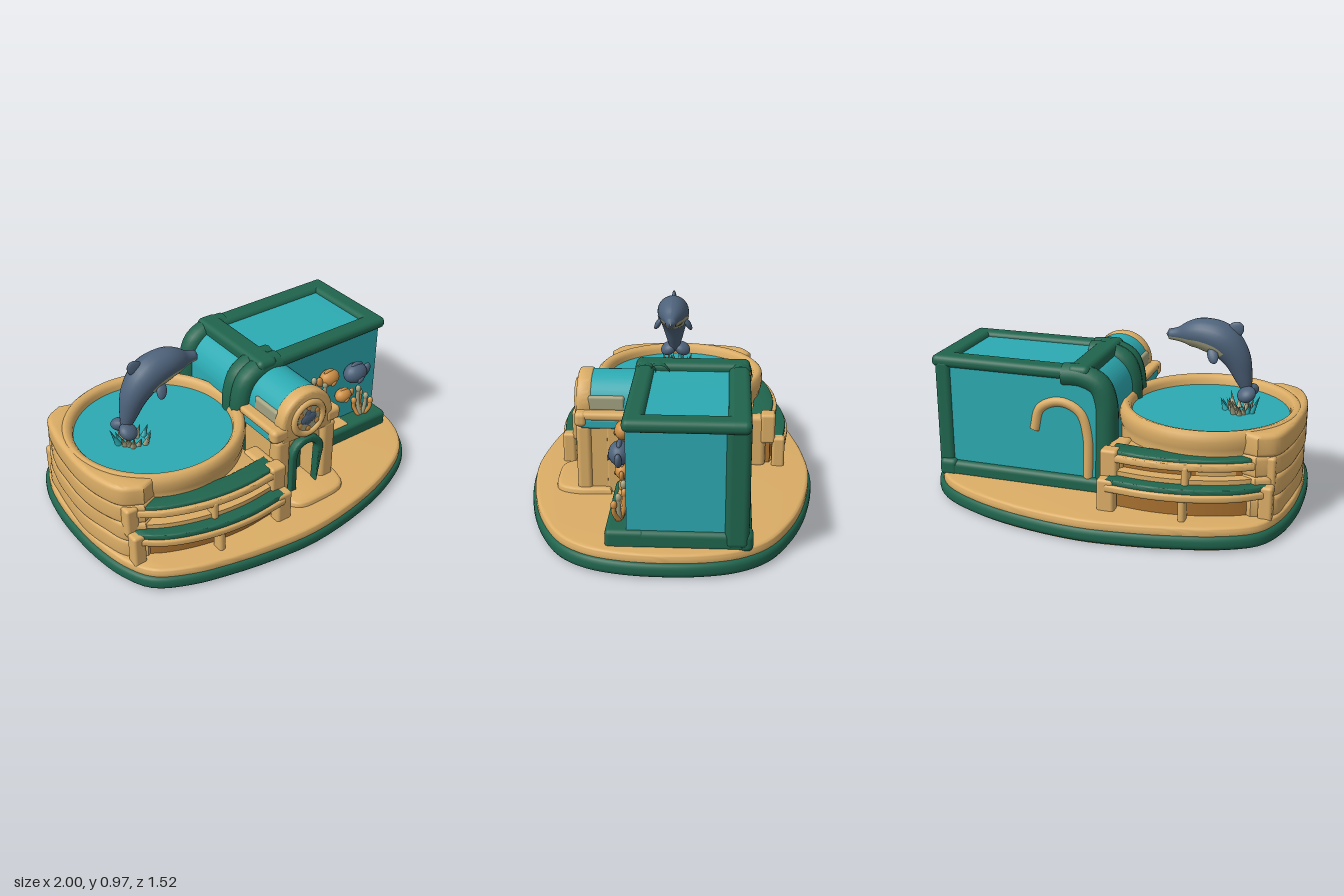
import * as THREE from 'three';
import { toCreasedNormals } from 'three/addons/utils/BufferGeometryUtils.js';
import { RoundedBoxGeometry } from 'three/addons/geometries/RoundedBoxGeometry.js';

export function createModel() {
  const root = new THREE.Group();
  root.name = 'aquarium';
  const mat = (name, color) => {
    const m = new THREE.MeshStandardMaterial({ color });
    m.name = name;
    return m;
  };
  const sand = mat('sand', 0xdbad66), brown = mat('brown', 0xa8702f), green = mat('green', 0x20654e);
  const teal = mat('teal', 0x2caab2), blue = mat('slate blue', 0x4d627a), grey = mat('grey green', 0xa3a281);
  const orange = mat('orange', 0xcf9045);

  // helpers
  const add = (name, geo, m, x = 0, y = 0, z = 0) => {
    const mesh = new THREE.Mesh(geo, m);
    mesh.name = name;
    mesh.position.set(x, y, z);
    root.add(mesh);
    return mesh;
  };
  const box = (name, m, x0, x1, y0, y1, z0, z1, r = 0.02) =>
    add(name, new RoundedBoxGeometry(x1 - x0, y1 - y0, z1 - z0, 3, r), m, (x0 + x1) / 2, (y0 + y1) / 2, (z0 + z1) / 2);
  const ball = (name, m, p, s, rot = [0, 0, 0]) => {
    const mesh = add(name, new THREE.SphereGeometry(1, 20, 14), m, ...p);
    mesh.scale.set(...s);
    mesh.rotation.set(...rot);
    return mesh;
  };
  const spline = (pts, closed, n) =>
    new THREE.CatmullRomCurve3(pts.map(([x, y]) => new THREE.Vector3(x, y, 0)), closed)
      .getPoints(n).map(p => new THREE.Vector2(p.x, p.y));
  const extrude = (shape, depth, b = 0) => {
    const g = new THREE.ExtrudeGeometry(shape, {
      depth: depth - 2 * b, bevelEnabled: b > 0, bevelSize: b, bevelThickness: b, bevelOffset: -b,
      bevelSegments: 4, curveSegments: 20 });
    g.translate(0, 0, b);
    return toCreasedNormals(g, 0.7);
  };
  // horizontal slab from a plan outline in x and z
  const slab = (name, m, pts, y0, y1, b = 0) => {
    const g = extrude(new THREE.Shape(pts), y1 - y0, b);
    g.rotateX(Math.PI / 2);
    return add(name, g, m, 0, y1, 0);
  };
  const arch = (cx, r, y0, ySpring, Kind = THREE.Shape) => {
    const s = new Kind();
    s.moveTo(cx - r, y0);
    s.lineTo(cx + r, y0);
    s.lineTo(cx + r, ySpring);
    s.absarc(cx, ySpring, r, 0, Math.PI, false);
    s.closePath();
    return s;
  };
  const tube = (name, m, pts, r) => add(name, new THREE.TubeGeometry(
    new THREE.CatmullRomCurve3(pts.map(p => new THREE.Vector3(...p))), 32, r, 12), m);
  let seed = 7;
  const rnd = () => (seed = (seed * 16807) % 2147483647) / 2147483647;

  // base
  const half = [[1, 0], [0.985, 0.2], [0.935, 0.37], [0.83, 0.51], [0.62, 0.63], [0.35, 0.715], [0, 0.762],
    [-0.27, 0.742], [-0.48, 0.705], [-0.7, 0.645], [-0.87, 0.55], [-0.95, 0.4], [-0.99, 0.2], [-1, 0]];
  const outline = spline([...half, ...half.slice(1, -1).reverse().map(([x, z]) => [x, -z])], true, 104).slice(0, -1);
  const scaled = k => outline.map(p => p.clone().multiplyScalar(k));
  slab('underside', sand, scaled(0.97), 0, 0.012);
  slab('baseTrim', green, outline, 0.004, 0.08, 0.028);
  slab('baseTop', sand, scaled(0.98), 0.05, 0.12, 0.018);

  // round pool
  const px = -0.487, pz = -0.015;
  const wall = new THREE.LatheGeometry([[0.47, 0.1], [0.465, 0.42], [0.475, 0.45], [0.48, 0.49], [0.475, 0.525],
    [0.455, 0.542], [0.43, 0.535], [0.415, 0.515], [0.41, 0.47]].map(p => new THREE.Vector2(...p)), 64);
  add('poolWall', wall, sand, px, 0, pz);
  const water = add('poolWater', new THREE.CircleGeometry(0.415, 48), teal, px, 0.49, pz);
  water.rotation.x = -Math.PI / 2;

  // wavy stacked courses on the left flank
  const inner = [[-0.72, 0.38], [-0.87, 0.22], [-0.925, -0.015], [-0.87, -0.25], [-0.72, -0.4]];
  for (let row = 0; row < 4; row++) {
    const outer = [[-0.8, -0.46], [-0.895, -0.4], [-0.94, -0.25], [-0.96, -0.1], [-0.96, 0.08], [-0.94, 0.24],
      [-0.895, 0.38], [-0.8, 0.44]].map(([x, z]) => [x - rnd() * 0.02, z * (1 - row * 0.02)]);
    slab('rockCourse', sand, [...spline(outer, false, 36), ...spline(inner, false, 20)],
      0.1 + row * 0.105, 0.22 + row * 0.105, 0.025);
  }

  // seating tiers, front and back
  for (const s of [1, -1]) {
    const edge = grow => spline([[-0.87, 0.37 + grow], [-0.75, 0.455 + grow], [-0.55, 0.525 + grow], [-0.33, 0.55 + grow],
      [-0.1, 0.53 + grow]], false, 24);
    const side = pts => pts.map(p => new THREE.Vector2(p.x, p.y * s));
    const tier = grow => side([...edge(grow), new THREE.Vector2(-0.14, 0.25), new THREE.Vector2(-0.8, 0.2)]);
    const band = (grow, width) => side([...edge(grow), ...edge(grow - width).reverse()]);
    slab('lowerRiser', brown, tier(0.005), 0.11, 0.25);
    slab('lowerStep', sand, tier(0.09), 0.222, 0.262, 0.012);
    slab('lowerSeat', green, band(0.077, 0.1), 0.252, 0.288, 0.01);
    slab('upperRiser', brown, tier(-0.05), 0.25, 0.39);
    slab('upperLedge', sand, tier(0.012), 0.25, 0.312);
    slab('upperStep', sand, tier(0.025), 0.358, 0.397, 0.01);
    slab('upperSeat', green, band(0.004, 0.11), 0.38, 0.414, 0.01);
    for (const [x, z, w] of [[-0.87, 0.37, 0.035], [-0.49, 0.525, 0.018], [-0.1, 0.52, 0.045]]) {
      const end = w > 0.03, zs = s * z, lo = s * (z + 0.06);
      box('upperPost', sand, x - w, x + w, 0.25, end ? 0.42 : 0.385, zs - 0.04, zs + 0.04, 0.016);
      box('lowerPost', sand, x - w, x + w, 0.1, end ? 0.285 : 0.25, lo - 0.035, lo + 0.035, 0.016);
    }
    box('tierEnd', sand, -0.16, -0.06, 0.1, 0.41, s * 0.41 - 0.1, s * 0.41 + 0.1, 0.03);
  }

  // glass tank with a rounded upper left corner
  const tank = new THREE.Shape();
  tank.moveTo(-0.05, 0.1);
  tank.lineTo(0.885, 0.1);
  tank.lineTo(0.885, 0.745);
  tank.lineTo(0.13, 0.745);
  tank.absarc(0.13, 0.565, 0.18, Math.PI / 2, Math.PI, false);
  tank.closePath();
  add('tankGlass', extrude(tank, 0.565), teal, 0, 0, -0.395);
  // green frame
  box('frameFront', green, 0.06, 0.93, 0.705, 0.77, 0.085, 0.185, 0.03);
  box('frameBack', green, 0.06, 0.93, 0.705, 0.77, -0.41, -0.3, 0.03);
  box('frameRight', green, 0.82, 0.93, 0.705, 0.77, -0.41, 0.185, 0.03);
  box('frameLeft', green, 0.05, 0.17, 0.705, 0.785, -0.41, 0.185, 0.03);
  box('framePost', green, 0.82, 0.912, 0.12, 0.75, -0.41, -0.295, 0.03);
  for (const z of [0.13, 0.06, -0.36])
    tube('frameCurve', green, [[0.2, 0.725, z], [0.1, 0.725, z], [0.01, 0.685, z], [-0.025, 0.6, z], [-0.03, 0.45, z],
      [-0.02, 0.1, z]], 0.06);
  box('tankFootBack', green, -0.06, 0.9, 0.1, 0.19, -0.425, -0.3, 0.03);
  box('tankFootRight', green, 0.8, 0.905, 0.1, 0.2, -0.43, 0.275, 0.03);
  box('tankFootFront', green, 0.33, 0.905, 0.1, 0.2, 0.08, 0.275, 0.025);
  box('tankSandBed', sand, 0.36, 0.64, 0.19, 0.206, 0.14, 0.25, 0.007);
  // arch on the back glass
  tube('backArch', sand, [[0.065, 0.15, -0.385], [0.065, 0.42, -0.385], [0.105, 0.54, -0.385], [0.21, 0.585, -0.385],
    [0.32, 0.54, -0.385], [0.355, 0.42, -0.385]], 0.028);

  // entrance tower with a recessed doorway
  const cx = 0.14;
  box('towerBody', sand, -0.04, 0.32, 0.1, 0.53, 0.1, 0.33);
  const facade = new THREE.Shape([[-0.04, 0.1], [0.32, 0.1], [0.32, 0.53], [-0.04, 0.53]].map(p => new THREE.Vector2(...p)));
  facade.holes.push(arch(cx, 0.075, 0.15, 0.36, THREE.Path));
  add('towerFront', extrude(facade, 0.13), sand, 0, 0, 0.32);
  const roof = add('barrelRoof', new THREE.CylinderGeometry(0.16, 0.16, 0.3, 40), teal, cx, 0.575, 0.28);
  roof.rotation.x = Math.PI / 2;
  for (const d of [-1, 1]) {
    const x = cx + d * 0.15;
    box('pilaster', sand, x - 0.045, x + 0.045, 0.1, 0.5, 0.4, 0.48, 0.025);
    const c = cx + d * 0.17;
    box('corniceBand', teal, c - 0.04, c + 0.04, 0.485, 0.54, 0.2, 0.455, 0.015);
    box('cornice', sand, c - 0.045, c + 0.045, 0.53, 0.572, 0.17, 0.455, 0.018);
    const g = cx + d * 0.14;
    box('roofPatch', grey, g - 0.022, g + 0.022, 0.565, 0.645, 0.23, 0.42, 0.015);
    box('archFoot', sand, c - 0.05, c + 0.05, 0.495, 0.575, 0.42, 0.485, 0.025);
  }
  add('archFront', extrude(arch(cx, 0.165, 0.47, 0.577), 0.08, 0.02), sand, 0, 0, 0.4);
  add('medallionRing', new THREE.TorusGeometry(0.092, 0.02, 10, 36), sand, cx, 0.585, 0.478);
  add('medallion', new THREE.CircleGeometry(0.085, 32), grey, cx, 0.585, 0.483);
  for (let i = 0; i < 6; i++) {
    const a = i * Math.PI / 3 + 0.5;
    ball('medallionSpot', orange, [cx + Math.cos(a) * 0.064, 0.585 + Math.sin(a) * 0.064, 0.484], [0.016, 0.016, 0.005]);
  }
  ball('medallionFish', blue, [cx, 0.585, 0.485], [0.05, 0.03, 0.008], [0, 0, 0.15]);
  ball('medallionFin', blue, [cx - 0.005, 0.59, 0.485], [0.022, 0.046, 0.006]);
  const frame = new THREE.Shape();
  frame.moveTo(cx + 0.108, 0.15);
  frame.absarc(cx, 0.36, 0.108, 0, Math.PI, false);
  frame.lineTo(cx - 0.108, 0.15);
  frame.lineTo(cx - 0.066, 0.15);
  frame.absarc(cx, 0.36, 0.066, Math.PI, 0, true);
  frame.lineTo(cx + 0.066, 0.15);
  frame.closePath();
  add('doorFrame', extrude(frame, 0.05, 0.012), green, 0, 0, 0.443);
  add('door', extrude(arch(cx, 0.08, 0.14, 0.36), 0.008), green, 0, 0, 0.334);
  slab('doorStep', sand, spline([[-0.03, 0.3], [-0.03, 0.5], [0.02, 0.59], [0.16, 0.605], [0.31, 0.58], [0.355, 0.48],
    [0.35, 0.3]], false, 30), 0.09, 0.15, 0.02);

  // dolphin body lofted along a leaping curve
  const spine = new THREE.CatmullRomCurve3([[-0.67, 0.59], [-0.648, 0.67], [-0.605, 0.78], [-0.53, 0.86], [-0.43, 0.888],
    [-0.36, 0.884], [-0.3, 0.875], [-0.232, 0.87]].map(([x, y]) => new THREE.Vector3(x, y, 0.025)));
  const radii = new THREE.SplineCurve([0.025, 0.047, 0.074, 0.09, 0.083, 0.066, 0.038, 0.026]
    .map((r, i) => new THREE.Vector2(i, r)));
  const loft = (u0, u1, a0, a1, k) => {
    const nu = 32, nv = 24, pos = [], idx = [];
    for (let i = 0; i <= nu; i++) {
      const u = u0 + (u1 - u0) * i / nu, c = spine.getPoint(u), t = spine.getTangent(u);
      const r = (i === nu ? 0.003 : radii.getPoint(u).y) * k;
      for (let j = 0; j <= nv; j++) {
        const a = a0 + (a1 - a0) * j / nv, n = Math.cos(a) * r;
        pos.push(c.x - t.y * n, c.y + t.x * n, c.z + Math.sin(a) * r);
        const p = i * (nv + 1) + j, q = p + nv + 1;
        if (i < nu && j < nv) idx.push(p, p + 1, q, p + 1, q + 1, q);
      }
    }
    const g = new THREE.BufferGeometry();
    g.setAttribute('position', new THREE.Float32BufferAttribute(pos, 3));
    g.setIndex(idx);
    g.computeVertexNormals();
    return g;
  };
  add('dolphinBody', loft(0, 1, 0, Math.PI * 2, 1), blue);
  add('dolphinBelly', loft(0.36, 0.99, Math.PI - 1.3, Math.PI + 1.3, 1.03), grey);
  ball('dorsalFin', blue, [-0.595, 0.92, 0.025], [0.04, 0.05, 0.014], [0, 0, 0.8]);
  for (const d of [-1, 1]) {
    ball('flipper', blue, [-0.5, 0.8, 0.025 + d * 0.085], [0.028, 0.045, 0.016], [d * -0.5, 0, -0.35]);
    ball('fluke', blue, [-0.675, 0.595, 0.02 + d * 0.04], [0.05, 0.035, 0.05], [d * 0.5, 0, -0.3]);
  }

  // splash around the tail
  for (let i = 0; i < 16; i++) {
    const a = i * 2.4, r = 0.03 + rnd() * 0.075, h = 0.05 + rnd() * 0.07;
    const drop = add('splash', new THREE.ConeGeometry(0.017, h, 6), i % 4 ? grey : teal,
      -0.64 + Math.cos(a) * r, 0.485 + h / 2, 0.01 + Math.sin(a) * r);
    drop.rotation.set(Math.sin(a) * 0.4, 0, -Math.cos(a) * 0.4);
  }

  // fish before the glass
  const fish = (m, x, y, z, s, dir) => {
    ball('fishBody', m, [x, y, z], [s, s * 0.8, s * 0.75]);
    ball('fishTail', m, [x - dir * s * 1.1, y - s * 0.1, z], [s * 0.35, s * 0.55, s * 0.25], [0, 0, dir * 0.4]);
    ball('fishFin', m, [x - dir * s * 0.1, y + s * 0.65, z], [s * 0.55, s * 0.3, s * 0.2]);
    for (const d of [-1, 1]) ball('fishSideFin', m, [x, y - s * 0.3, z + d * s * 0.7], [s * 0.35, s * 0.2, s * 0.12], [0, 0, 0.6]);
  };
  fish(orange, 0.505, 0.55, 0.215, 0.06, 1);
  fish(blue, 0.695, 0.51, 0.215, 0.073, -1);
  fish(orange, 0.62, 0.385, 0.21, 0.052, -1);

  // coral clumps
  const coral = (x, z, n, height, spread, colours) => {
    for (let i = 0; i < n; i++) {
      const lean = (i / (n - 1) - 0.5) * spread, h = height * (0.45 + rnd() * 0.55), dz = (rnd() - 0.5) * 0.06;
      const m = colours[i % colours.length];
      tube('coralBranch', m, [[x + lean * 0.4, 0.19, z], [x + lean * 0.9, 0.2 + h * 0.5, z + dz],
        [x + lean, 0.2 + h, z + dz]], 0.012);
      ball('coralTip', m, [x + lean, 0.2 + h, z + dz], [0.016, 0.022, 0.016]);
    }
  };
  coral(0.42, 0.21, 11, 0.37, 0.14, [grey, orange, grey, brown]);
  coral(0.77, 0.21, 5, 0.17, 0.08, [orange, grey]);
  ball('coralRock', orange, [0.43, 0.215, 0.21], [0.06, 0.035, 0.045]);

  return root;
}
